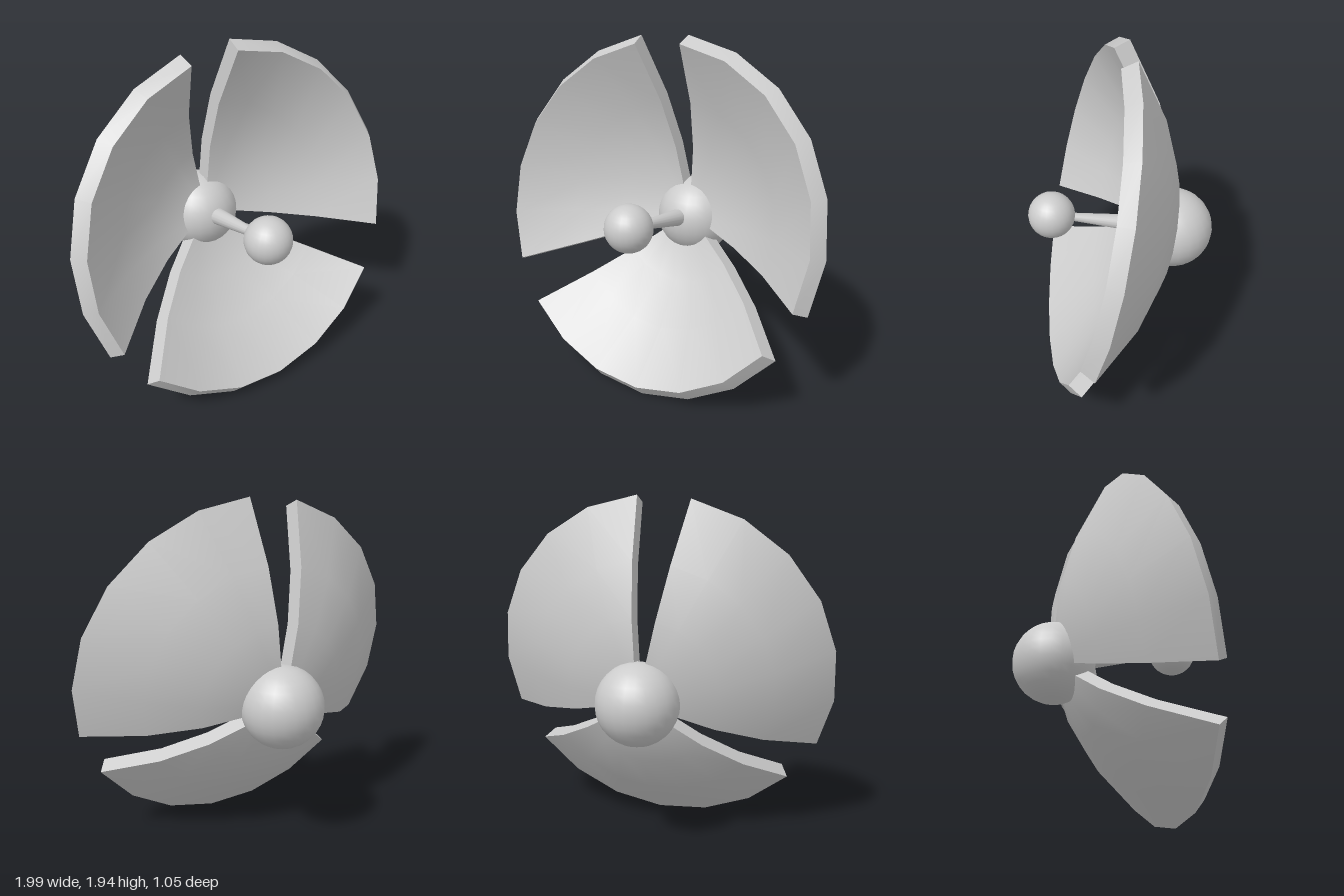
import * as THREE from 'three';
import { toCreasedNormals } from 'three/addons/utils/BufferGeometryUtils.js';

const TILT = THREE.MathUtils.degToRad(13.9);
const DEPTH = 0.452, THICKNESS = 0.092;
const START = 4, SPAN = 103, SEGMENTS = 6; // degrees, clockwise from the top
const RADII = [0.02, 0.215, 0.43, 0.7, 1];

// Closed cross-section of the dish shell: back parabola out, front offset back in
function shellSection() {
  const back = RADII.map((r) => new THREE.Vector2(r, DEPTH * (r * r - 1)));
  const front = back.map((p, i) => {
    const before = back[Math.max(i - 1, 0)], after = back[Math.min(i + 1, back.length - 1)];
    const along = after.clone().sub(before).normalize();
    const r = Math.max(p.x - along.y * THICKNESS, 0.01);
    return new THREE.Vector2(r, p.y + along.x * THICKNESS);
  });
  return [...back, ...front.reverse()];
}

// One wedge-shaped petal: the section swept about the dish axis, with flat ends
function petalGeometry() {
  const section = shellSection(), n = section.length;
  const positions = [], index = [];
  const quad = (a, b, c, d) => index.push(a, b, c, a, c, d);
  for (let k = 0; k <= SEGMENTS; k++) {
    const a = THREE.MathUtils.degToRad(START + (SPAN * k) / SEGMENTS);
    for (const p of section) positions.push(p.x * Math.sin(a), p.x * Math.cos(a), p.y);
  }
  for (let k = 0; k < SEGMENTS; k++) {
    for (let j = 0; j < n; j++) {
      const next = (j + 1) % n;
      quad(k * n + j, k * n + next, (k + 1) * n + next, (k + 1) * n + j);
    }
  }
  const end = SEGMENTS * n;
  for (let i = 0; i < n / 2 - 1; i++) {
    quad(i, n - 1 - i, n - 2 - i, i + 1);
    quad(end + i, end + i + 1, end + n - 2 - i, end + n - 1 - i);
  }
  const geometry = new THREE.BufferGeometry();
  geometry.setAttribute('position', new THREE.Float32BufferAttribute(positions, 3));
  geometry.setIndex(index);
  return toCreasedNormals(geometry, 0.7);
}

export function createModel() {
  const model = new THREE.Group();
  model.name = 'dishAntenna';
  const material = new THREE.MeshStandardMaterial({ color: 0xcccccc });
  const add = (parent, name, geometry) => {
    const mesh = new THREE.Mesh(geometry, material);
    mesh.name = name;
    parent.add(mesh);
    return mesh;
  };

  // Dish of three petals, tilted upward
  const dish = new THREE.Group();
  dish.name = 'dish';
  dish.position.set(0, 0.975, 0.165);
  dish.rotation.x = -TILT;
  model.add(dish);
  const petal = petalGeometry();
  for (let i = 0; i < 3; i++) {
    add(dish, `petal${i + 1}`, petal).rotation.z = (-i * Math.PI * 2) / 3;
  }

  // Round hub behind the dish and receiver ball in front
  const hubCentre = new THREE.Vector3(0, 0.853, -0.296);
  const ballCentre = new THREE.Vector3(0, 1.0, 0.393);
  add(model, 'hub', new THREE.SphereGeometry(0.228, 24, 16)).position.copy(hubCentre);
  add(model, 'receiverBall', new THREE.SphereGeometry(0.131, 24, 16)).position.copy(ballCentre);

  // Tapered arm joining the two
  const reach = ballCentre.clone().sub(hubCentre);
  const arm = add(model, 'receiverArm', new THREE.CylinderGeometry(0.015, 0.064, reach.length(), 16));
  arm.position.copy(hubCentre).addScaledVector(reach, 0.5);
  arm.quaternion.setFromUnitVectors(new THREE.Vector3(0, 1, 0), reach.normalize());

  return model;
}
